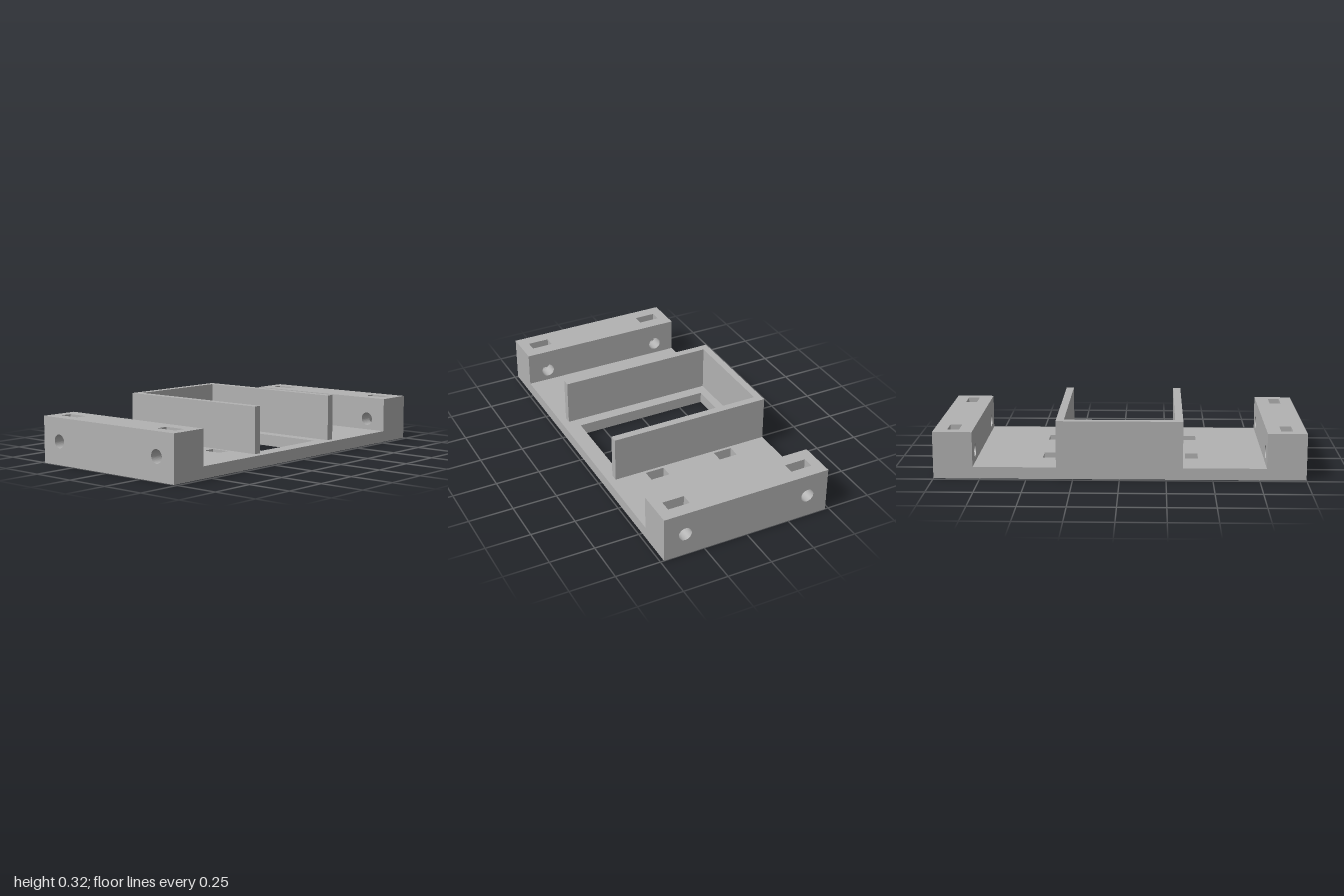
import * as THREE from 'three';

const D = 0.48;          // half depth
const PLATE = 0.064;     // plate thickness
const RAIL_H = 0.255, RAIL_IN = 0.788, SLOT_IN = 0.864, SLOT_OUT = 0.928;
const WALL_TOP = 0.318;

const polygon = (pts) => new THREE.Shape(pts.map(([x, y]) => new THREE.Vector2(x, y)));
const rect = (x0, y0, x1, y1) => polygon([[x0, y0], [x1, y0], [x1, y1], [x0, y1]]);
const extrude = (shape, depth) =>
  new THREE.ExtrudeGeometry(shape, { depth, bevelEnabled: false, curveSegments: 32 });

export function createModel() {
  const group = new THREE.Group();
  const grey = new THREE.MeshStandardMaterial({ color: 0xb2b2b2 });
  grey.name = 'grey plastic';

  const add = (name, geometry, parent = group) => {
    const mesh = new THREE.Mesh(geometry, grey);
    mesh.name = name;
    parent.add(mesh);
  };
  // Plan outline raised from y0 to y1
  const raise = (shape, y0, y1) => extrude(shape, y1 - y0).rotateX(-Math.PI / 2).translate(0, y0, 0);
  // Side outline swept from x0 to x1
  const sweep = (shape, x0, x1) => extrude(shape, x1 - x0).rotateY(Math.PI / 2).translate(x0, 0, 0);

  // Base plate with the central window and four strap slots
  const plate = rect(-RAIL_IN, -D, RAIL_IN, D);
  plate.holes.push(rect(-0.232, -0.392, 0.232, 0.392));
  for (const sx of [-1, 1]) {
    for (const sz of [-1, 1]) {
      plate.holes.push(rect(sx * 0.357, sz * 0.157, sx * 0.427, sz * 0.265));
    }
  }
  add('basePlate', raise(plate, 0, PLATE));

  // U-shaped holder wall, open at the front
  add('holderWall', raise(polygon([
    [-0.34, D], [-0.34, -0.438], [-0.297, -0.438], [-0.297, 0.44],
    [0.297, 0.44], [0.297, -0.438], [0.34, -0.438], [0.34, D],
  ]), PLATE, WALL_TOP));

  // Side rails: bored cheeks on either side of a core notched for the nut pockets
  const cheek = rect(-D, 0, D, RAIL_H);
  for (const z of [-0.36, 0.36]) {
    cheek.holes.push(new THREE.Path().absarc(z, 0.128, 0.037, 0, Math.PI * 2, true));
  }
  const core = polygon([
    [-D, 0], [D, 0], [D, RAIL_H],
    [0.421, RAIL_H], [0.421, PLATE], [0.299, PLATE], [0.299, RAIL_H],
    [-0.299, RAIL_H], [-0.299, PLATE], [-0.421, PLATE], [-0.421, RAIL_H],
    [-D, RAIL_H],
  ]);
  for (const side of [1, -1]) {
    const rail = new THREE.Group();
    rail.name = side > 0 ? 'leftRail' : 'rightRail';
    rail.rotation.y = side > 0 ? 0 : Math.PI;
    add('innerCheek', sweep(cheek, RAIL_IN, SLOT_IN), rail);
    add('nutPocketCore', sweep(core, SLOT_IN, SLOT_OUT), rail);
    add('outerCheek', sweep(cheek, SLOT_OUT, 1), rail);
    group.add(rail);
  }
  return group;
}
